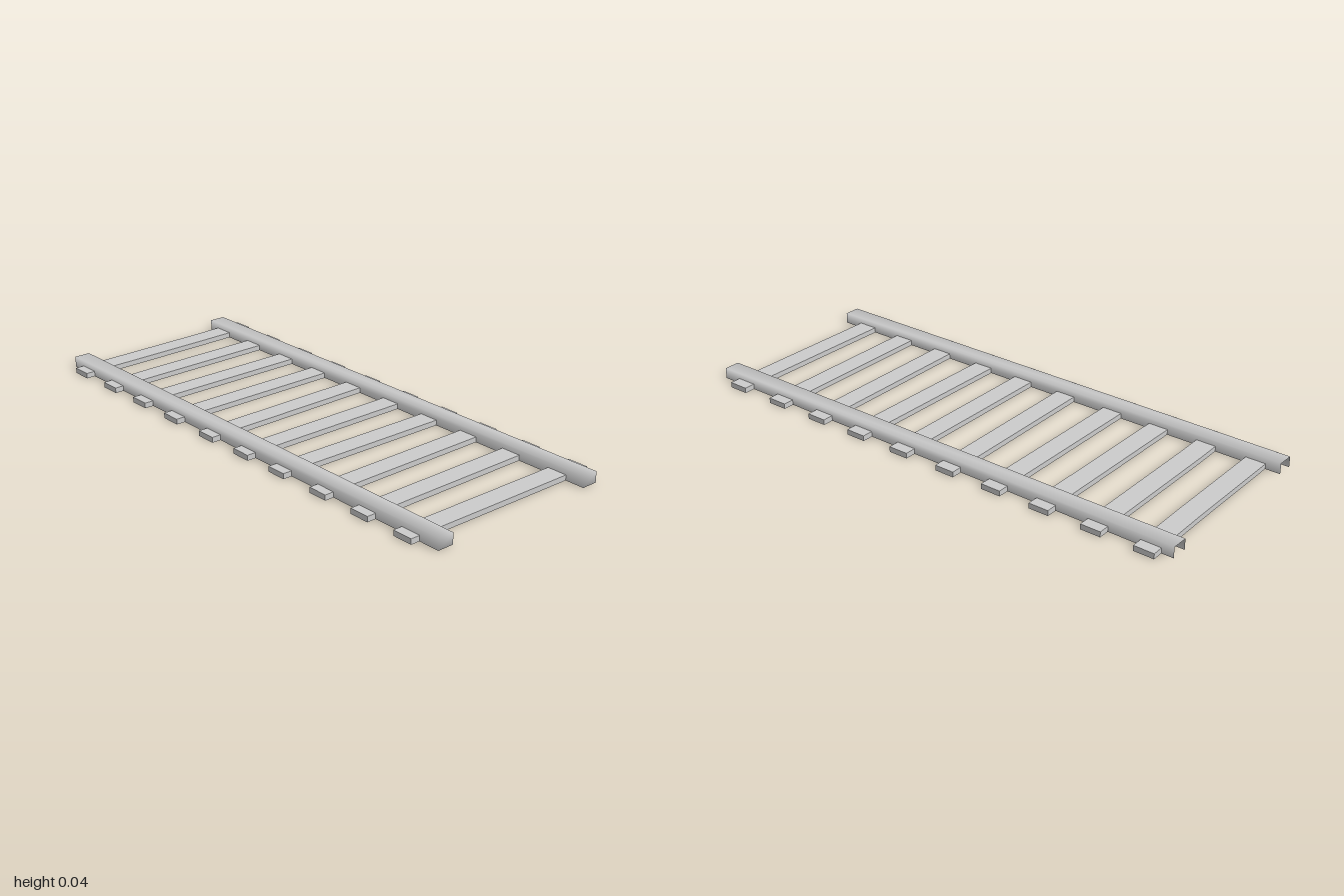
import * as THREE from 'three';

// Open-bottomed beam running along z; stations are [z, sideways offset]
function hollowBeam(stations, width, height, capBack, capFront) {
  const w = width / 2;
  const section = [[-w, 0], [-w, height], [w, height], [w, 0]];
  const positions = [];
  const index = [];
  for (const [z, offset] of stations) {
    for (const [x, y] of section) positions.push(x + offset, y, z);
  }
  for (let i = 0; i < stations.length - 1; i++) {
    for (let j = 0; j < 3; j++) {
      const a = i * 4 + j;
      const b = a + 4;
      index.push(a, b, b + 1, a, b + 1, a + 1);
    }
  }
  const e = (stations.length - 1) * 4;
  if (capBack) index.push(0, 1, 2, 0, 2, 3);
  if (capFront) index.push(e, e + 3, e + 2, e, e + 2, e + 1);
  const geometry = new THREE.BufferGeometry();
  geometry.setAttribute('position', new THREE.Float32BufferAttribute(positions, 3));
  geometry.setIndex(index);
  geometry.computeVertexNormals();
  return geometry;
}

export function createModel() {
  const group = new THREE.Group();
  const smooth = new THREE.MeshStandardMaterial({ color: 0xcccccc, side: THREE.DoubleSide });
  const flat = new THREE.MeshStandardMaterial({ color: 0xcccccc, side: THREE.DoubleSide, flatShading: true });

  // Two rails, softly shaded, closed at the front end and open at the back
  for (const [name, x] of [['rightRail', -0.334], ['leftRail', 0.327]]) {
    const rail = new THREE.Mesh(hollowBeam([[-1, 0], [1, 0]], 0.062, 0.041, false, true), smooth);
    rail.name = name;
    rail.position.x = x;
    group.add(rail);
  }

  // Slightly bent sleepers: [z at -x end, z at +x end, x of the bend]
  const sleepers = [
    [-0.903, -0.917, 0.13], [-0.706, -0.717, -0.2], [-0.513, -0.513, 0],
    [-0.316, -0.316, 0.25], [-0.106, -0.117, 0.01], [0.09, 0.09, 0],
    [0.28, 0.29, -0.04], [0.489, 0.482, 0], [0.687, 0.682, 0.04], [0.881, 0.888, -0.05],
  ];
  sleepers.forEach(([zStart, zEnd, bend], i) => {
    const zBend = (zStart + zEnd) / 2;
    const stations = [[-0.4, -zStart], [bend, -zBend], [0.4, -zEnd]];
    const geometry = hollowBeam(stations, 0.077, 0.02, true, true).rotateY(Math.PI / 2);
    const sleeper = new THREE.Mesh(geometry, flat);
    sleeper.name = `sleeper${i + 1}`;
    group.add(sleeper);
  });

  return group;
}
